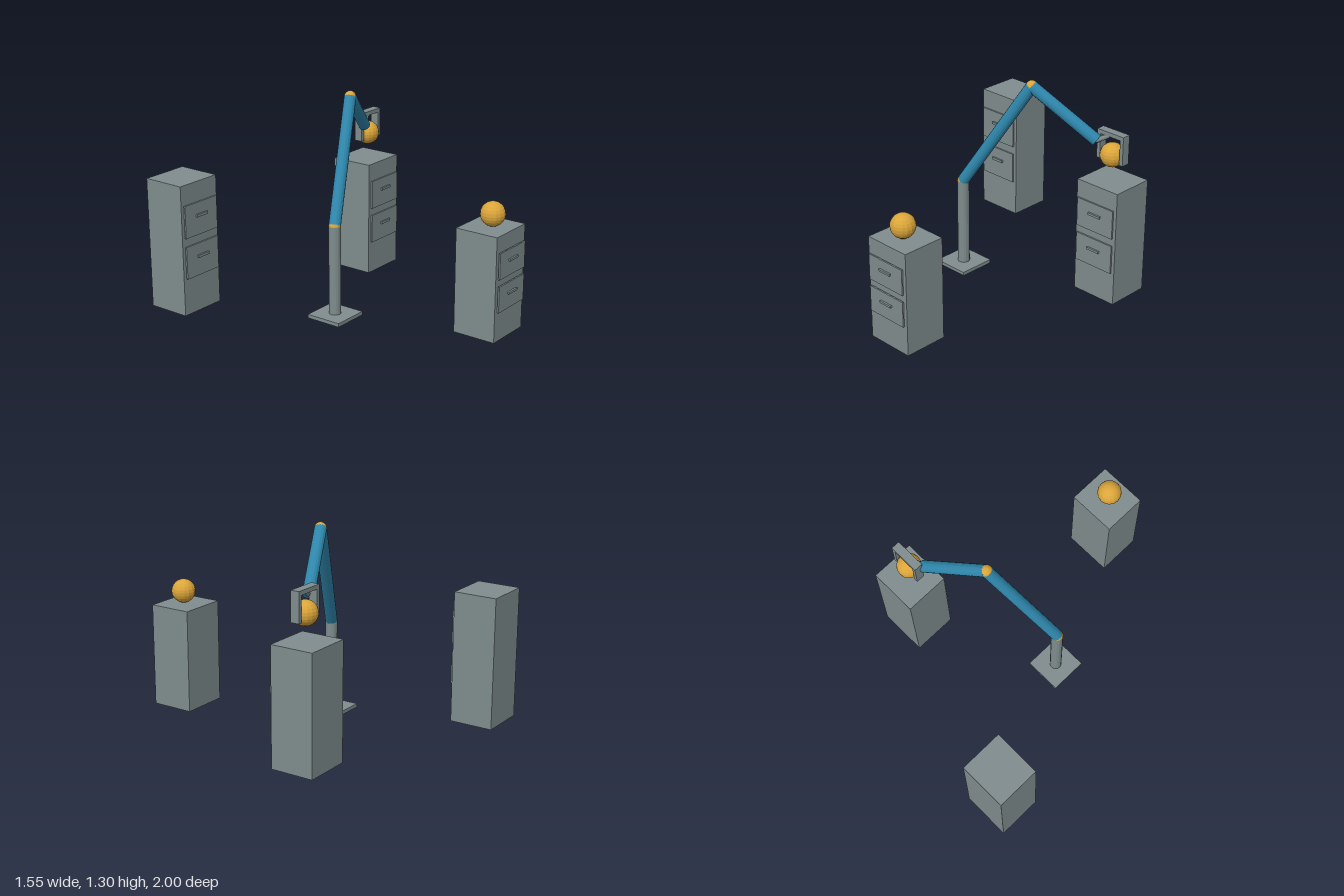
import * as THREE from 'three';

const material = (name, color) => {
  const m = new THREE.MeshStandardMaterial({ color, flatShading: true });
  m.name = name;
  return m;
};

export function createModel() {
  const model = new THREE.Group();
  model.name = 'robotArmWorkcell';
  const grey = material('steel grey', 0x7f8c8d);
  const blue = material('arm blue', 0x2e86ab);
  const gold = material('gold', 0xdba53a);

  const add = (parent, name, geometry, mat, x, y, z) => {
    const mesh = new THREE.Mesh(geometry, mat);
    mesh.name = name;
    mesh.position.set(x, y, z);
    parent.add(mesh);
    return mesh;
  };
  const box = (parent, name, w, h, d, x, y, z) =>
    add(parent, name, new THREE.BoxGeometry(w, h, d), grey, x, y, z);
  const ball = (parent, name, r, p) =>
    add(parent, name, new THREE.SphereGeometry(r, 16, 12), gold, p.x, p.y, p.z);

  // Round bar between two points
  const bar = (parent, name, from, to, r, mat) => {
    const dir = to.clone().sub(from);
    const mid = from.clone().add(to).multiplyScalar(0.5);
    const mesh = add(parent, name, new THREE.CylinderGeometry(r, r, dir.length(), 16), mat, mid.x, mid.y, mid.z);
    mesh.quaternion.setFromUnitVectors(new THREE.Vector3(0, 1, 0), dir.normalize());
  };

  // Cabinets: two raised drawer fronts with handles, sized by cabinet height
  const depth = 0.277;
  const cabinet = (name, x, h, z) => {
    const g = new THREE.Group();
    g.name = name;
    g.position.set(x, 0, z);
    box(g, 'cabinetBody', 0.305, h, depth, 0, h / 2, 0);
    for (const [label, y] of [['upper', 0.725], ['lower', 0.411]]) {
      box(g, label + 'Drawer', 0.272, 0.249 * h, 0.01, 0, y * h, depth / 2 + 0.011);
      box(g, label + 'Handle', 0.09, 0.02 * h, 0.013, 0, (y + 0.026) * h, depth / 2 + 0.0215);
    }
    model.add(g);
  };
  cabinet('rearCabinet', -0.622, 0.822, -0.861);
  cabinet('frontCabinet', 0.167, 0.65, 0.835);
  cabinet('sideCabinet', 0.619, 0.735, -0.407);

  // Balls: one resting, one held
  ball(model, 'restingBall', 0.075, new THREE.Vector3(0.166, 0.727, 0.848));
  ball(model, 'heldBall', 0.075, new THREE.Vector3(0.619, 0.9, -0.395));

  // Robot arm
  const arm = new THREE.Group();
  arm.name = 'robotArm';
  model.add(arm);
  const shoulder = new THREE.Vector3(-0.229, 0.58, 0);
  const elbow = new THREE.Vector3(0.164, 1.26, -0.185);
  const wrist = new THREE.Vector3(0.53, 0.976, -0.354);
  const palm = new THREE.Vector3(0.62, 1.033, -0.395);
  box(arm, 'basePlate', 0.235, 0.023, 0.235, -0.229, 0.0115, 0);
  bar(arm, 'post', new THREE.Vector3(-0.229, 0.023, 0), shoulder, 0.037, grey);
  bar(arm, 'upperArm', shoulder, elbow, 0.037, blue);
  bar(arm, 'forearm', elbow, wrist, 0.037, blue);
  ball(arm, 'shoulderJoint', 0.037, shoulder);
  ball(arm, 'elbowJoint', 0.037, elbow);
  bar(arm, 'wristStrut', wrist, palm, 0.015, grey);

  // Gripper
  const gripper = new THREE.Group();
  gripper.name = 'gripper';
  gripper.position.copy(palm);
  arm.add(gripper);
  box(gripper, 'palmBar', 0.197, 0.026, 0.055, 0, 0, 0);
  for (const s of [-1, 1]) {
    box(gripper, s < 0 ? 'rightFinger' : 'leftFinger', 0.024, 0.157, 0.055, s * 0.0865, -0.0915, 0);
  }
  return model;
}
